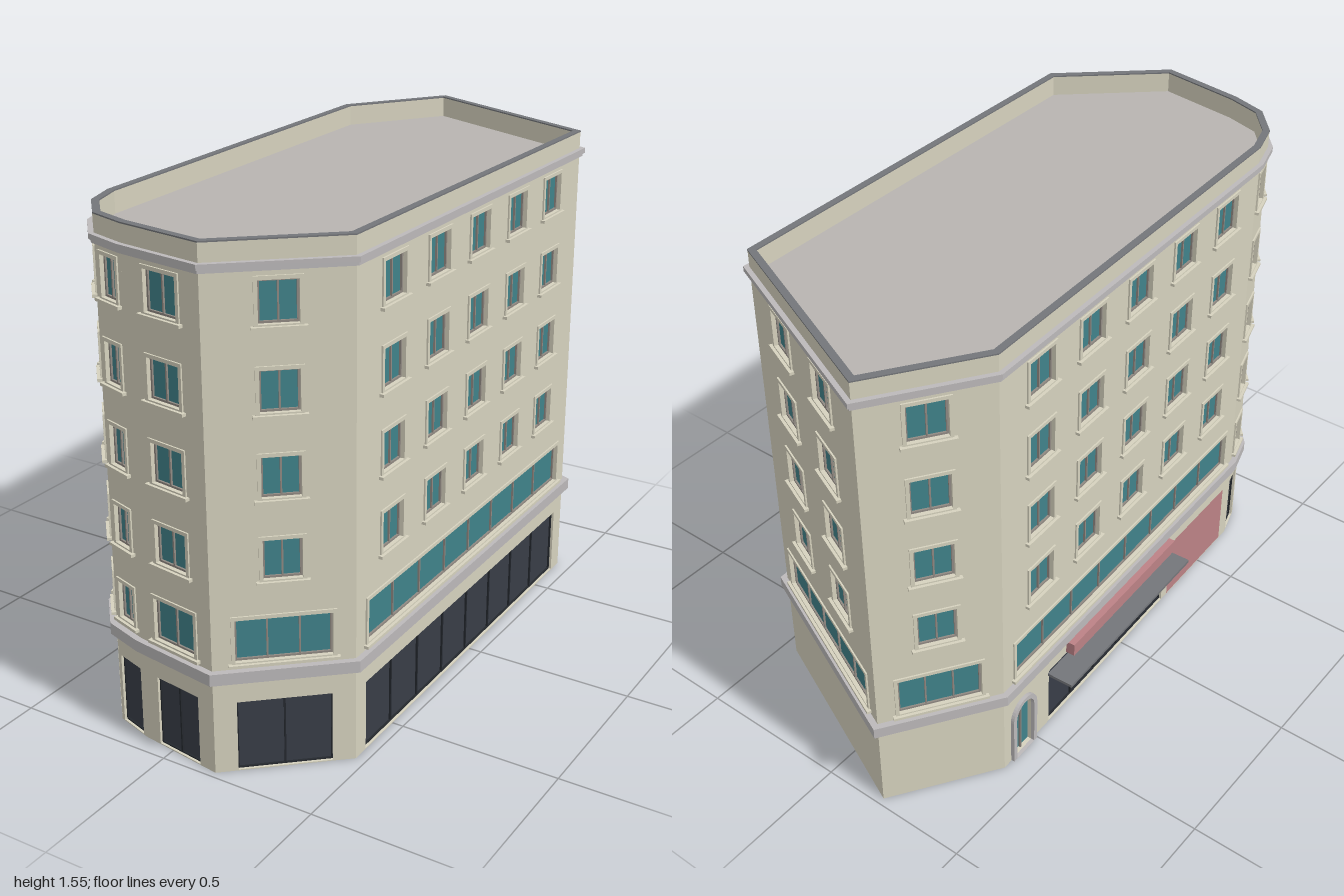
import * as THREE from 'three';

const mat = (name, color, side = THREE.FrontSide) => {
  const m = new THREE.MeshStandardMaterial({ color, side });
  m.name = name;
  return m;
};

export function createModel() {
  const M = {
    wall: mat('cream wall', 0xd6d2be),
    band: mat('pale grey band', 0xbcb9ba),
    roof: mat('roof grey', 0xb8b4b1, THREE.DoubleSide),
    cap: mat('dark grey cap', 0x74767a),
    glass: mat('teal glass', 0x40828a, THREE.DoubleSide),
    shop: mat('dark shop glass', 0x383d47, THREE.DoubleSide),
    bar: mat('black bar', 0x24282e),
    frame: mat('brown grey frame', 0x918a83),
    pink: mat('dusty pink', 0xbc8286),
  };
  const model = new THREE.Group();
  model.name = 'cornerBuilding';

  const add = (parent, name, geo, material, x = 0, y = 0, z = 0) => {
    const mesh = new THREE.Mesh(geo, material);
    mesh.name = name;
    mesh.position.set(x, y, z);
    parent.add(mesh);
    return mesh;
  };
  const box = (parent, name, material, w, h, d, x, y, z) =>
    add(parent, name, new THREE.BoxGeometry(w, h, d), material, x, y, z);
  const rect = (x0, y0, x1, y1, Type = THREE.Shape) =>
    new Type([[x0, y0], [x1, y0], [x1, y1], [x0, y1]].map((p) => new THREE.Vector2(...p)));
  const arch = (x0, x1, top, Type = THREE.Shape) => {
    const r = (x1 - x0) / 2, s = new Type();
    s.moveTo(x0, 0.003);
    s.lineTo(x1, 0.003);
    s.lineTo(x1, top - r);
    s.absarc((x0 + x1) / 2, top - r, r, 0, Math.PI, false);
    s.closePath();
    return s;
  };
  const extrude = (shape, depth) =>
    new THREE.ExtrudeGeometry(shape, { depth, bevelEnabled: false, curveSegments: 10 });

  // Footprint [x, z], walking left to right as seen from outside
  const plan = [
    [-0.352, 0.69], [-0.318, 0.8], [-0.23, 0.9], [-0.11, 0.938], [0.168, 0.98],
    [0.467, 0.712], [0.45, -0.69], [-0.196, -0.978], [-0.41, -0.66],
  ];
  // Mitred offset of the footprint
  const offset = (d) => plan.map((p, i) => {
    const n = plan.length, a = plan[(i + n - 1) % n], b = plan[(i + 1) % n];
    const normal = (u, v) => {
      const l = Math.hypot(v[0] - u[0], v[1] - u[1]);
      return [-(v[1] - u[1]) / l, (v[0] - u[0]) / l];
    };
    const m = normal(a, p), k = normal(p, b);
    const s = d / (1 + m[0] * k[0] + m[1] * k[1]);
    return new THREE.Vector2(p[0] + (m[0] + k[0]) * s, -(p[1] + (m[1] + k[1]) * s));
  });
  const ring = (name, material, outer, inner, y, h) => {
    const s = new THREE.Shape(offset(outer));
    s.holes.push(new THREE.Path(offset(inner)));
    add(model, name, extrude(s, h).rotateX(-Math.PI / 2), material, 0, y, 0);
  };

  // Openings: centre x, width, bottom, top, pane count, kind
  const rows = [0.597, 0.838, 1.08, 1.322];
  const upper = (xs, w) => xs.flatMap((x) => rows.map((y) => ({ x, w, y, t: y + 0.118, n: 2, kind: 'window' })));
  const strip = (x, w, n, y = 0.35, t = 0.48) => ({ x, w, y, t, n, kind: 'window' });
  const shop = (x, w, n) => ({ x, w, y: 0.003, t: 0.222, n, kind: 'shop' });
  const curve = (l, w, g) => [...upper([l / 2], w), strip(l / 2, w, 2, 0.357, 0.472), shop(l / 2, g, 1)];
  const faces = [
    ['curvedCornerWallA', (l) => curve(l, 0.068, 0.085)],
    ['curvedCornerWallB', (l) => curve(l, 0.072, 0.095)],
    ['curvedCornerWallC', (l) => curve(l, 0.07, 0.1)],
    ['frontWall', (l) => [...upper([l / 2], 0.117), strip(l / 2, 0.155, 2), shop(l / 2, 0.162, 2)]],
    ['frontChamferWall', (l) => [...upper([l / 2], 0.108), strip(l / 2, 0.272, 3), shop(l / 2, 0.27, 2)]],
    ['longLeftWall', (l) => [...upper([0.197, 0.45, 0.699, 0.949, 1.199], 0.115),
      strip(0.7, 1.275, 8), shop(0.7, 1.29, 8)]],
    ['backWall', () => [...upper([0.215, 0.497], 0.115), strip(0.352, 0.59, 5)]],
    ['backChamferWall', (l) => [...upper([l / 2], 0.115), strip(l / 2, 0.25, 3)]],
    ['longRightWall', (l) => [...upper([0.19, 0.435, 0.68, 0.925, 1.17], 0.115), strip(l / 2, 1.23, 8),
      shop(0.575, 0.68, 5), { x: 1.13, w: 0.36, y: 0.003, t: 0.222, n: 1, kind: 'panel' },
      { x: 0.095, w: 0.09, y: 0.003, t: 0.215, n: 2, kind: 'arch' }]],
  ];
  const T = 0.02;

  // Frame ring around an opening
  const surround = (g, name, material, o, grow, width, depth, z) => {
    const a = o.w / 2 + grow, s = rect(o.x - a, o.y - grow, o.x + a, o.t + grow);
    s.holes.push(rect(o.x - a + width, o.y - grow + width, o.x + a - width, o.t + grow - width, THREE.Path));
    add(g, name, extrude(s, depth), material, 0, 0, z);
  };

  const fillOpening = (g, o) => {
    const x0 = o.x - o.w / 2, h = o.t - o.y, cy = (o.y + o.t) / 2;
    if (o.kind === 'arch') {
      add(g, 'archDoorGlass', new THREE.ShapeGeometry(arch(x0, x0 + o.w, o.t)), M.glass, 0, 0, -0.014);
      const s = arch(x0 - 0.016, x0 + o.w + 0.016, o.t + 0.016);
      s.holes.push(arch(x0, x0 + o.w, o.t, THREE.Path));
      add(g, 'archDoorSurround', extrude(s, 0.012), M.band);
      box(g, 'archDoorBar', M.frame, 0.006, h, 0.008, o.x, cy, -0.01);
      return;
    }
    if (o.kind === 'panel') {
      box(g, 'pinkPanel', M.pink, o.w, h, 0.008, o.x, cy, -0.004);
      box(g, 'panelBacking', M.shop, o.w, h, 0.004, o.x, cy, -0.014);
      return;
    }
    const isShop = o.kind === 'shop';
    const line = isShop ? M.bar : M.frame;
    add(g, isShop ? 'shopGlass' : 'windowGlass', new THREE.PlaneGeometry(o.w, h),
      isShop ? M.shop : M.glass, o.x, cy, -0.015);
    surround(g, isShop ? 'shopFrame' : 'windowFrame', line, o, 0, isShop ? 0.004 : 0.006, 0.006, -0.014);
    for (let i = 1; i < o.n; i++)
      box(g, 'mullion', line, 0.005, h, 0.006, x0 + (o.w * i) / o.n, cy, -0.011);
    if (!isShop) {
      surround(g, 'windowSurround', M.wall, o, 0.011, 0.011, 0.005, 0);
      box(g, 'windowSill', M.wall, o.w + 0.04, 0.009, 0.014, o.x, o.y - 0.009, 0.007);
    }
  };

  // Walls with real openings
  const groups = faces.map(([name, make], i) => {
    const p = plan[i], q = plan[(i + 1) % plan.length];
    const l = Math.hypot(q[0] - p[0], q[1] - p[1]);
    const g = new THREE.Group();
    g.name = name;
    g.position.set(p[0], 0, p[1]);
    g.rotation.y = Math.atan2(p[1] - q[1], q[0] - p[0]);
    model.add(g);
    const openings = make(l), s = rect(0, 0, l, 1.545);
    openings.forEach((o) => s.holes.push(o.kind === 'arch'
      ? arch(o.x - o.w / 2, o.x + o.w / 2, o.t, THREE.Path)
      : rect(o.x - o.w / 2, o.y, o.x + o.w / 2, o.t, THREE.Path)));
    add(g, 'wall', extrude(s, T), M.wall, 0, 0, -T);
    openings.forEach((o) => fillOpening(g, o));
    return g;
  });

  // Entrance canopy and sign on the long right wall
  const side = groups[8];
  box(side, 'canopy', M.cap, 0.7, 0.01, 0.088, 0.58, 0.211, 0.044);
  box(side, 'signFascia', M.pink, 0.6, 0.045, 0.03, 0.63, 0.25, 0.015);

  // Bands, cornice, parapet cap and roof
  ring('floorBand', M.band, 0.019, -0.004, 0.292, 0.036);
  ring('corniceLower', M.band, 0.009, -0.004, 1.466, 0.01);
  ring('corniceUpper', M.band, 0.015, -0.004, 1.476, 0.016);
  ring('parapetCap', M.cap, 0.001, -0.021, 1.544, 0.004);
  add(model, 'roof', new THREE.ShapeGeometry(new THREE.Shape(offset(-0.01))).rotateX(-Math.PI / 2),
    M.roof, 0, 1.48, 0);
  return model;
}
